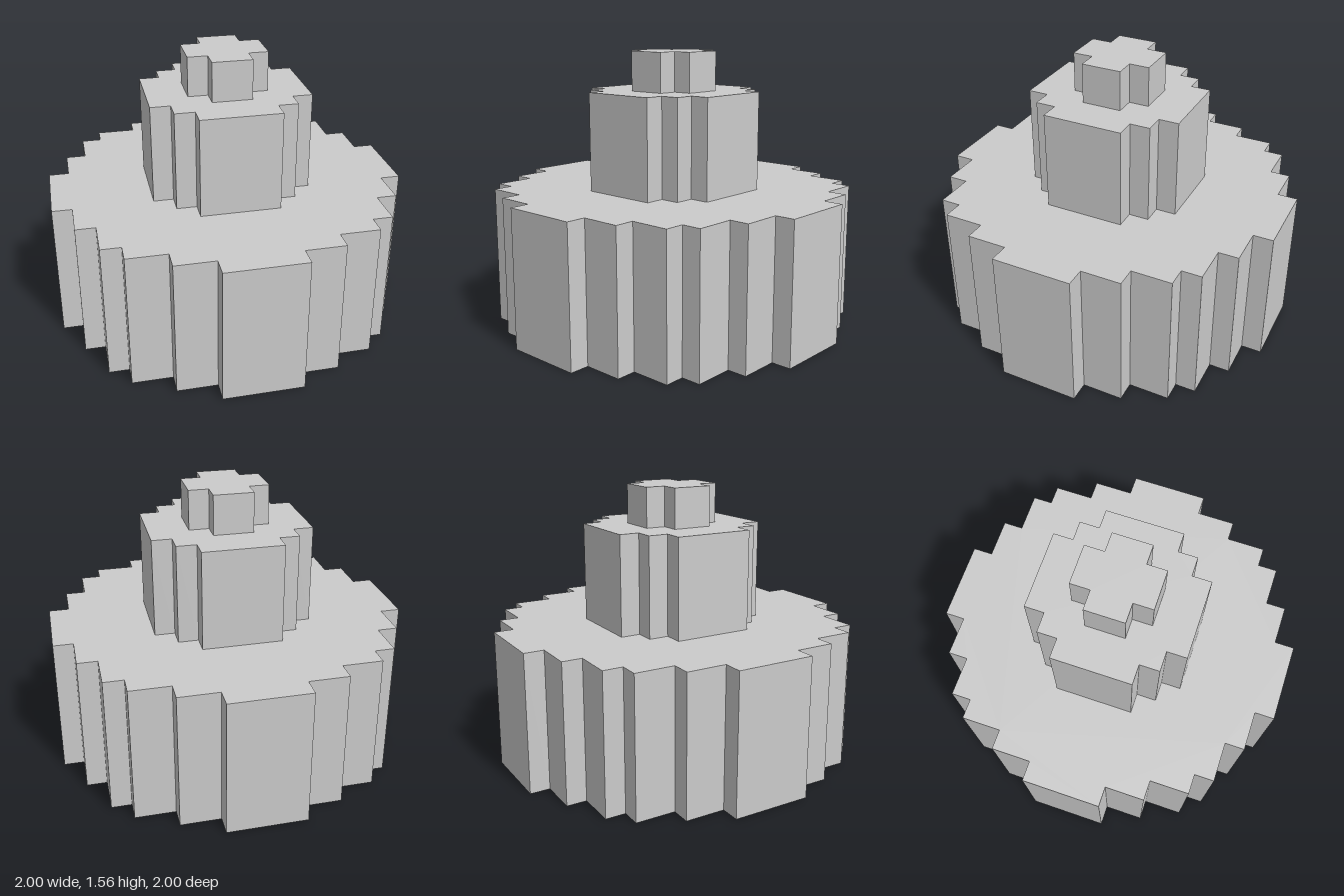
import * as THREE from 'three';

const U = 1 / 9; // one block

// Stepped round outline: outer corners of one quarter, turned four times
function steppedDisc(corners) {
  const quarter = [];
  corners.forEach(([x, y], i) => {
    if (i > 0) quarter.push([x, corners[i - 1][1]]); // inner corner
    quarter.push([x, y]);
  });
  const points = [];
  for (let q = 0; q < 4; q++) {
    const c = [1, 0, -1, 0][q], s = [0, 1, 0, -1][q];
    for (const [x, y] of quarter) {
      points.push(new THREE.Vector2((c * x - s * y) * U, (s * x + c * y) * U));
    }
  }
  return new THREE.Shape(points);
}

export function createModel() {
  const group = new THREE.Group();
  group.name = 'steppedTower';
  const material = new THREE.MeshStandardMaterial({ color: 0xcccccc, flatShading: true });

  // Tiers from the ground up: bottom and top in blocks, quarter corners
  const tiers = [
    { name: 'base', from: 0, to: 7, corners: [[9, 2], [8, 4], [7, 6], [6, 7], [4, 8], [2, 9]] },
    { name: 'middleTier', from: 7, to: 12, corners: [[4, 2], [3, 3], [2, 4]] },
    { name: 'topKnob', from: 12, to: 14, corners: [[2, 1], [1, 2]] },
  ];
  for (const { name, from, to, corners } of tiers) {
    const geometry = new THREE.ExtrudeGeometry(steppedDisc(corners), {
      depth: (to - from) * U,
      bevelEnabled: false,
    });
    geometry.rotateX(-Math.PI / 2);
    const mesh = new THREE.Mesh(geometry, material);
    mesh.name = name;
    mesh.position.y = from * U;
    group.add(mesh);
  }
  return group;
}
